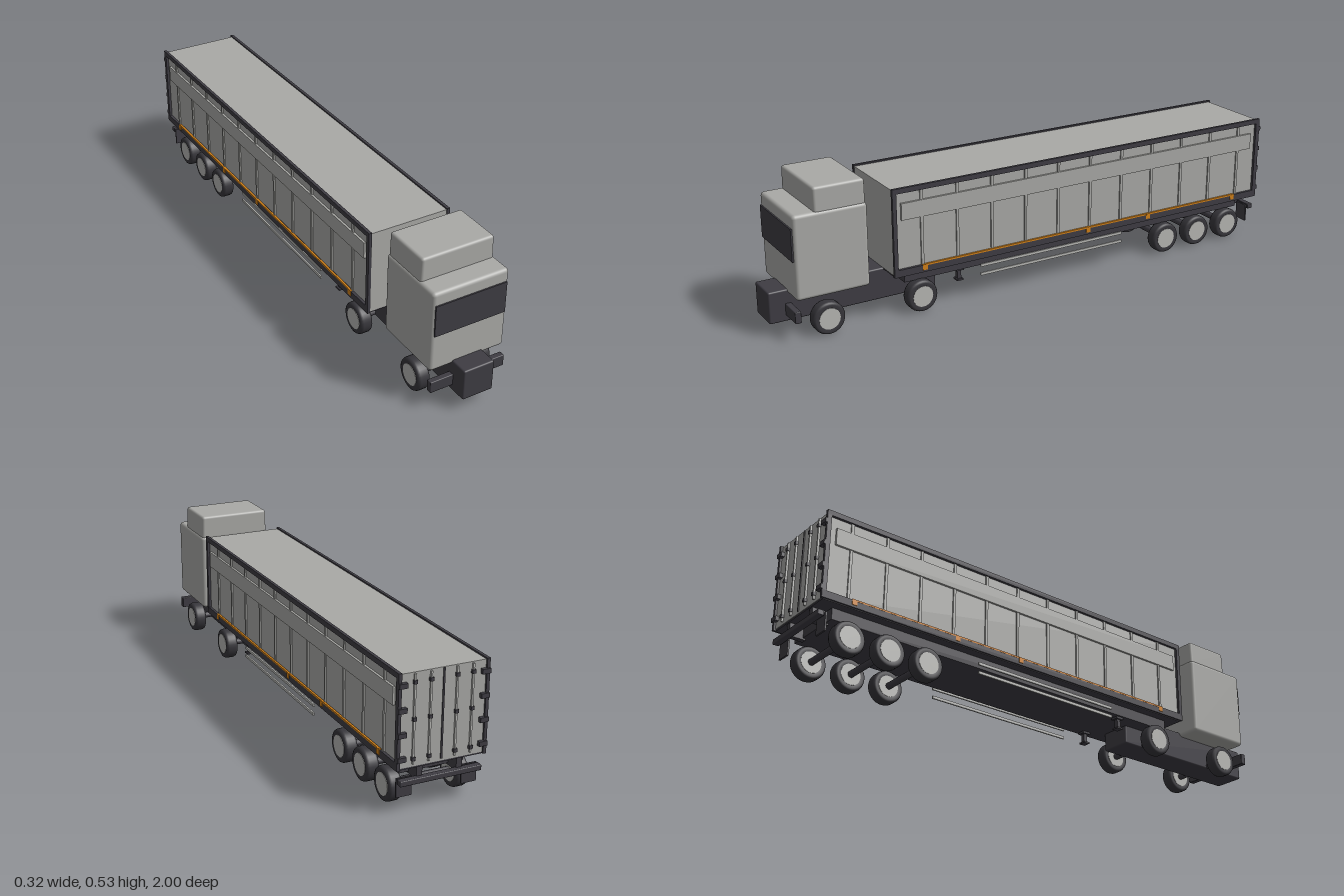
import * as THREE from 'three';
import { RoundedBoxGeometry } from 'three/addons/geometries/RoundedBoxGeometry.js';

const mat = (name, color) => {
  const m = new THREE.MeshStandardMaterial({ color });
  m.name = name;
  return m;
};

export function createModel() {
  const grey = mat('panel grey', 0xa9a9a6);
  const dark = mat('frame charcoal', 0x3e3c43);
  const rubber = mat('tyre rubber', 0x37363b);
  const rim = mat('rim grey', 0xb6b6b3);
  const orange = mat('marker orange', 0xd08018);

  const truck = new THREE.Group();
  truck.name = 'articulatedTruck';
  const tractor = new THREE.Group();
  tractor.name = 'tractor';
  const trailer = new THREE.Group();
  trailer.name = 'trailer';
  truck.add(tractor, trailer);

  // Box given by its minimum and maximum on each axis; r rounds the edges
  const box = (parent, name, m, [x0, x1], [y0, y1], [z0, z1], r = 0) => {
    const s = [x1 - x0, y1 - y0, z1 - z0];
    const geo = r ? new RoundedBoxGeometry(...s, 3, r) : new THREE.BoxGeometry(...s);
    const mesh = new THREE.Mesh(geo, m);
    mesh.name = name;
    mesh.position.set((x0 + x1) / 2, (y0 + y1) / 2, (z0 + z1) / 2);
    parent.add(mesh);
    return mesh;
  };
  // The same box on both sides, x measured outward from the centre
  const pair = (parent, name, m, [x0, x1], y, z, r) => {
    box(parent, name + 'Left', m, [x0, x1], y, z, r);
    box(parent, name + 'Right', m, [-x1, -x0], y, z, r);
  };

  // Wheels: lathed tyre with round shoulders, flat rim discs
  const tyreProfile = [
    [0.036, -0.021], [0.049, -0.023], [0.055, -0.02], [0.058, -0.013],
    [0.058, 0.013], [0.055, 0.02], [0.049, 0.023], [0.036, 0.021],
  ].map(([x, y]) => new THREE.Vector2(x, y));
  const tyreGeo = new THREE.LatheGeometry(tyreProfile, 32);
  const rimGeo = new THREE.CylinderGeometry(0.038, 0.038, 0.045, 32);
  const axleGeo = new THREE.CylinderGeometry(0.012, 0.012, 0.2, 12);
  const addAxle = (parent, z) => {
    const axle = new THREE.Mesh(axleGeo, dark);
    axle.name = 'axle';
    axle.rotation.z = Math.PI / 2;
    axle.position.set(0, 0.06, z);
    parent.add(axle);
    for (const s of [1, -1]) {
      const wheel = new THREE.Group();
      wheel.name = s > 0 ? 'wheelLeft' : 'wheelRight';
      const tyre = new THREE.Mesh(tyreGeo, rubber);
      tyre.name = 'tyre';
      const disc = new THREE.Mesh(rimGeo, rim);
      disc.name = 'rim';
      wheel.add(tyre, disc);
      wheel.rotation.z = -s * Math.PI / 2;
      wheel.position.set(s * 0.119, 0.06, z);
      parent.add(wheel);
    }
  };
  [0.82, 0.472].forEach((z) => addAxle(tractor, z));
  [-0.572, -0.722, -0.873].forEach((z) => addAxle(trailer, z));

  // Tractor: chassis, bumper, cab, roof fairing, windscreen
  box(tractor, 'tractorChassis', dark, [-0.058, 0.058], [0.048, 0.162], [0.38, 1], 0.006);
  box(tractor, 'frontBumper', dark, [-0.143, 0.143], [0.07, 0.112], [0.92, 0.942], 0.003);
  box(tractor, 'cab', grey, [-0.143, 0.143], [0.147, 0.445], [0.668, 0.932], 0.013);
  const fairing = box(tractor, 'roofFairing', grey, [-0.138, 0.138], [0.435, 0.527], [0.672, 0.855], 0.01);
  const p = fairing.geometry.attributes.position;
  for (let i = 0; i < p.count; i++) if (p.getY(i) > 0) p.setX(i, p.getX(i) * 0.985);
  box(tractor, 'windscreen', dark, [-0.134, 0.134], [0.285, 0.4], [0.929, 0.937]);

  // Trailer body and dark edge frame
  box(trailer, 'cargoBody', grey, [-0.147, 0.147], [0.162, 0.47], [-0.987, 0.582]);
  box(trailer, 'floor', dark, [-0.15, 0.15], [0.156, 0.164], [-0.985, 0.58]);
  pair(trailer, 'topRail', dark, [0.146, 0.157], [0.457, 0.475], [-0.992, 0.585]);
  pair(trailer, 'bottomRail', dark, [0.146, 0.157], [0.158, 0.184], [-0.992, 0.585]);
  pair(trailer, 'frontPost', dark, [0.146, 0.157], [0.158, 0.475], [0.57, 0.585]);
  pair(trailer, 'rearPost', dark, [0.146, 0.157], [0.158, 0.475], [-0.994, -0.978]);

  // Side planks and ribs
  pair(trailer, 'sidePlank', grey, [0.146, 0.155], [0.36, 0.42], [-0.955, 0.552]);
  for (let i = 0; i < 11; i++) {
    const z = 0.475 - i * 0.137;
    pair(trailer, 'sideRib', grey, [0.146, 0.152], [0.184, 0.457], [z - 0.005, z + 0.005]);
  }

  // Orange strip and marker lamps
  pair(trailer, 'markerStrip', orange, [0.15, 0.1575], [0.181, 0.187], [-0.88, 0.47]);
  for (const z of [0.47, -0.2, -0.47, -0.875]) {
    pair(trailer, 'markerLamp', orange, [0.15, 0.159], [0.166, 0.186], [z - 0.009, z + 0.009]);
  }

  // Rear doors: centre gap, lock bars with clamps, hinges
  box(trailer, 'doorGap', dark, [-0.003, 0.003], [0.17, 0.468], [-0.99, -0.98]);
  for (const x of [0.045, 0.1]) {
    pair(trailer, 'lockBar', rim, [x - 0.003, x + 0.003], [0.172, 0.466], [-0.994, -0.985]);
    for (const y of [0.19, 0.32, 0.44]) {
      pair(trailer, 'lockClamp', dark, [x - 0.006, x + 0.006], [y - 0.006, y + 0.006], [-0.997, -0.985]);
    }
  }
  for (const y of [0.195, 0.275, 0.355, 0.435]) {
    pair(trailer, 'doorHinge', dark, [0.128, 0.157], [y - 0.008, y + 0.008], [-1, -0.985]);
  }

  // Trailer chassis, landing legs, side guards
  box(trailer, 'trailerChassis', dark, [-0.115, 0.115], [0.116, 0.16], [-0.93, 0.53]);
  pair(trailer, 'landingLeg', dark, [0.085, 0.1], [0.075, 0.12], [0.3, 0.315]);
  pair(trailer, 'landingFoot', dark, [0.078, 0.107], [0.07, 0.076], [0.295, 0.32]);
  pair(trailer, 'landingBracket', dark, [0.078, 0.107], [0.108, 0.12], [0.292, 0.323]);
  for (const y of [0.09, 0.123]) {
    pair(trailer, 'sideGuard', rim, [0.131, 0.137], [y - 0.005, y + 0.005], [-0.365, 0.24]);
  }

  // Rear bumper and mudflaps
  box(trailer, 'rearBumper', dark, [-0.143, 0.143], [0.103, 0.122], [-0.995, -0.972], 0.003);
  pair(trailer, 'bumperArm', dark, [0.06, 0.08], [0.11, 0.16], [-0.98, -0.92]);
  pair(trailer, 'mudflap', dark, [0.088, 0.142], [0.055, 0.12], [-0.967, -0.961]);

  return truck;
}
